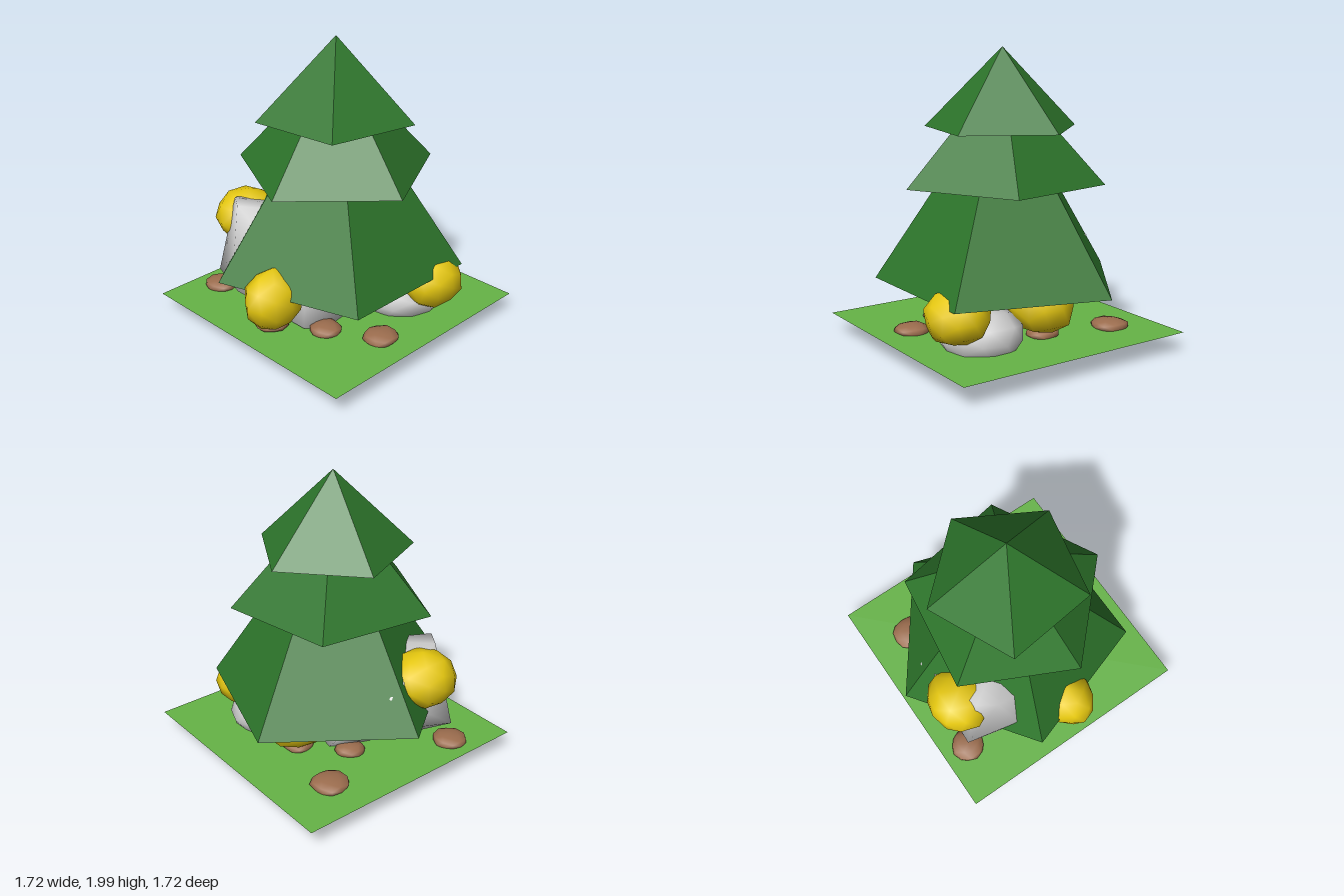
import * as THREE from 'three';
import { mergeVertices } from 'three/addons/utils/BufferGeometryUtils.js';
import { ConvexGeometry } from 'three/addons/geometries/ConvexGeometry.js';

const material = (color, extra = {}) => new THREE.MeshStandardMaterial({ color, ...extra });

function seeded(seed) {
  let s = seed * 7919 + 17;
  return () => (s = (s * 16807) % 2147483647) / 2147483647;
}

// Drop normals and uvs so shared corners weld and shade smoothly
function weld(geometry) {
  geometry.deleteAttribute('normal');
  geometry.deleteAttribute('uv');
  const g = mergeVertices(geometry, 1e-4);
  g.computeVertexNormals();
  return g;
}

// Irregular rounded lump with the given half sizes
function lump(seed, rx, ry, rz) {
  const random = seeded(seed);
  for (let i = 0; i < 5; i++) random();
  const g = weld(new THREE.IcosahedronGeometry(1, 1));
  const p = g.attributes.position;
  for (let i = 0; i < p.count; i++) {
    const k = 0.92 + random() * 0.14;
    p.setXYZ(i, p.getX(i) * k * rx, p.getY(i) * k * ry, p.getZ(i) * k * rz);
  }
  g.computeVertexNormals();
  return g;
}

export function createModel() {
  const model = new THREE.Group();
  const add = (name, geometry, mat, x = 0, y = 0, z = 0) => {
    const mesh = new THREE.Mesh(geometry, mat);
    mesh.name = name;
    mesh.position.set(x, y, z);
    model.add(mesh);
    return mesh;
  };

  const green = material(0x2d752b, { flatShading: true });
  const grass = material(0x66b447, { side: THREE.DoubleSide });
  const grey = material(0xcccccc);
  const yellow = material(0xe6c80f);
  const brown = material(0x9c6d4e);

  // Ground sheet
  add('ground', new THREE.PlaneGeometry(1.72, 1.72).rotateX(-Math.PI / 2), grass, 0, 0.14, 0);

  // Three stacked five-sided foliage tiers: base y, apex y, radius, turn in degrees
  [
    ['lowerFoliage', 0.45, 1.75, 0.86, 180],
    ['middleFoliage', 1.11, 1.86, 0.68, 63.8],
    ['upperFoliage', 1.47, 2.0, 0.533, 96.5],
  ].forEach(([name, base, apex, radius, turn]) => {
    const cone = new THREE.ConeGeometry(radius, apex - base, 5, 1, false, THREE.MathUtils.degToRad(turn));
    add(name, cone, green, 0, (base + apex) / 2, 0);
  });

  // Large boulder leaning towards the back
  const corners = [
    [0.16, 0.01, -0.09], [-0.4, 0.1, -0.3], [-0.48, 0.15, 0.18], [-0.3, 0.1, 0.25],
    [0.08, 0.1, 0.2], [-0.53, 0.2, -0.43], [-0.49, 0.27, -0.67], [0.27, 0.3, -0.38],
    [-0.62, 0.55, -0.34], [-0.55, 0.34, -0.15], [-0.51, 0.85, -0.42], [-0.43, 0.85, -0.54],
    [0.07, 0.68, -0.67], [0, 0.42, -0.67], [-0.48, 0.46, 0.2], [-0.1, 0.45, 0.3],
    [0.22, 0.5, 0], [-0.1, 0.78, -0.05],
  ].map((c) => new THREE.Vector3(...c));
  add('largeBoulder', weld(new ConvexGeometry(corners)), grey);

  // Small boulder at the front
  add('smallBoulder', lump(3, 0.3, 0.185, 0.285), grey, 0.28, 0.2, 0.36);

  // Yellow shrubs: position, half sizes
  [
    [-0.28, 0.66, -0.58, 0.23, 0.19, 0.23],
    [-0.64, 0.4, 0.07, 0.21, 0.21, 0.18],
    [0.36, 0.36, -0.06, 0.23, 0.22, 0.23],
    [0.1, 0.38, 0.3, 0.2, 0.21, 0.2],
    [0.33, 0.36, 0.57, 0.22, 0.18, 0.21],
  ].forEach(([x, y, z, ...size], i) => add(`yellowShrub${i + 1}`, lump(i + 11, ...size), yellow, x, y, z));

  // Flat brown stones: x, z, radius
  [
    [0.47, -0.55, 0.13], [0.36, -0.07, 0.11], [0.13, -0.34, 0.1], [-0.48, -0.67, 0.12],
    [0.05, 0.18, 0.12], [-0.19, 0.6, 0.12], [-0.38, 0.28, 0.11], [-0.59, -0.01, 0.12],
  ].forEach(([x, z, r], i) => add(`brownStone${i + 1}`, lump(i + 31, r, 0.045, r), brown, x, i === 7 ? 0.17 : 0.15, z));

  return model;
}
